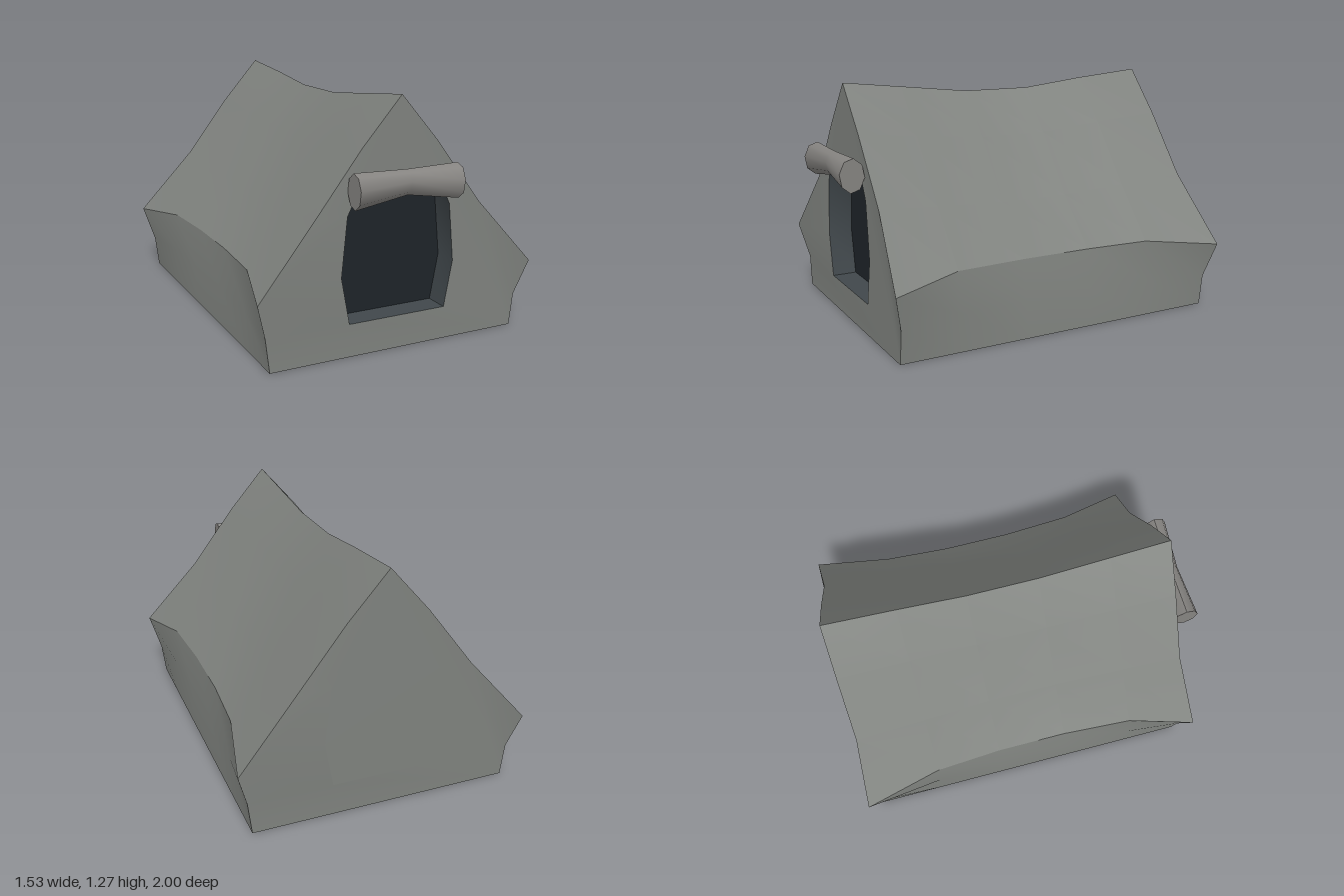
import * as THREE from 'three';
import { toCreasedNormals } from 'three/addons/utils/BufferGeometryUtils.js';

// Half cross-sections [x, y] from the ground up to the ridge
const END = [[0.69, 0], [0.71, 0.17], [0.765, 0.36], [0.46, 0.705], [0.21, 1.03], [0, 1.27]];
const NEAR = [[0.69, 0], [0.685, 0.2], [0.67, 0.41], [0.44, 0.68], [0.2, 1.0], [0, 1.236]];
const MID = [[0.69, 0], [0.68, 0.2], [0.648, 0.41], [0.42, 0.655], [0.19, 0.965], [0, 1.195]];
// Half outline of the doorway
const DOOR = [[0.27, 0.17], [0.315, 0.41], [0.285, 0.71], [0.24, 0.8], [0.17, 0.88]];
const FRONT = 0.87, BACK = -0.95, FLARE = 0.045, RECESS = 0.13;

// Mirrors a half outline across x = 0, skipping a shared centre point
function mirror(half) {
  const other = half.filter(([x]) => x > 0).map(([x, y]) => [-x, y]).reverse();
  return [...half, ...other];
}

// Joins equal-length rows of [x, y, z] points into a surface
function loft(rows, closed = false) {
  const n = rows[0].length, index = [];
  for (let s = 0; s < rows.length - 1; s++) {
    for (let i = 0; i < (closed ? n : n - 1); i++) {
      const a = s * n + i, b = s * n + (i + 1) % n;
      index.push(a, a + n, b, a + n, b + n, b);
    }
  }
  const g = new THREE.BufferGeometry();
  g.setAttribute('position', new THREE.Float32BufferAttribute(rows.flat(2), 3));
  g.setIndex(index);
  return toCreasedNormals(g, 0.5);
}

const toShape = (pts) => new THREE.Shape(pts.map(([x, y]) => new THREE.Vector2(x, y)));

export function createModel() {
  const model = new THREE.Group();
  model.name = 'tent';
  const canvas = new THREE.MeshStandardMaterial({ color: 0x7f827e });
  const rollCloth = new THREE.MeshStandardMaterial({ color: 0x858380 });
  const lining = new THREE.MeshStandardMaterial({ color: 0x40474b, side: THREE.DoubleSide });
  const dark = new THREE.MeshStandardMaterial({ color: 0x1e2429 });
  const add = (name, geometry, material) => {
    const mesh = new THREE.Mesh(geometry, material);
    mesh.name = name;
    model.add(mesh);
    return mesh;
  };

  // Sagging roof and side walls, with the eave corners pulled outward
  const stations = [[FRONT, END, FLARE], [0.55, NEAR, 0], [0.17, MID, 0],
    [-0.21, MID, 0], [-0.57, NEAR, 0], [BACK, END, -FLARE]];
  const rows = stations.map(([z, half, flare]) =>
    mirror(half).map(([x, y]) => [x, y, z + (Math.abs(x) > 0.74 ? flare : 0)]));
  add('roofAndSides', loft(rows), canvas);

  // End wall with a doorway hole; its eave corners follow the roof
  const door = mirror(DOOR);
  const wallShape = toShape(mirror(END));
  wallShape.holes.push(toShape(door));
  const wall = new THREE.ShapeGeometry(wallShape);
  const p = wall.attributes.position;
  for (let i = 0; i < p.count; i++) if (Math.abs(p.getX(i)) > 0.74) p.setZ(i, FLARE);
  wall.computeVertexNormals();
  add('frontWall', wall, canvas).position.z = FRONT;

  // Back wall: the same wall turned round, with its middle filled
  const back = add('backWall', wall, canvas);
  const fill = add('backWallMiddle', new THREE.ShapeGeometry(toShape(door)), canvas);
  for (const m of [back, fill]) {
    m.rotation.y = Math.PI;
    m.position.z = BACK;
  }

  // Shallow doorway recess
  const sides = [FRONT - RECESS, FRONT].map((z) => door.map(([x, y]) => [x, y, z]));
  add('doorwaySides', loft(sides, true), lining);
  add('doorwayBack', new THREE.ShapeGeometry(toShape(door)), dark).position.z = FRONT - RECESS;

  // Ground sheet
  const floor = add('groundSheet', new THREE.PlaneGeometry(1.38, FRONT - BACK), canvas);
  floor.rotation.x = Math.PI / 2;
  floor.position.z = (FRONT + BACK) / 2;

  // Rolled-up door flap, pinched in the middle
  const roll = new THREE.CylinderGeometry(1, 1, 0.57, 8, 2);
  roll.rotateY(0.15).rotateZ(Math.PI / 2);
  const r = roll.attributes.position;
  for (let i = 0; i < r.count; i++) {
    const pinched = Math.abs(r.getX(i)) < 0.01;
    r.setY(i, (pinched ? 0.861 : 0.843) + r.getY(i) * (pinched ? 0.062 : 0.088));
    r.setZ(i, (pinched ? 0.93 : 0.935) + r.getZ(i) * (pinched ? 0.047 : 0.066));
  }
  add('rolledFlap', toCreasedNormals(roll, 0.95), rollCloth);

  return model;
}
